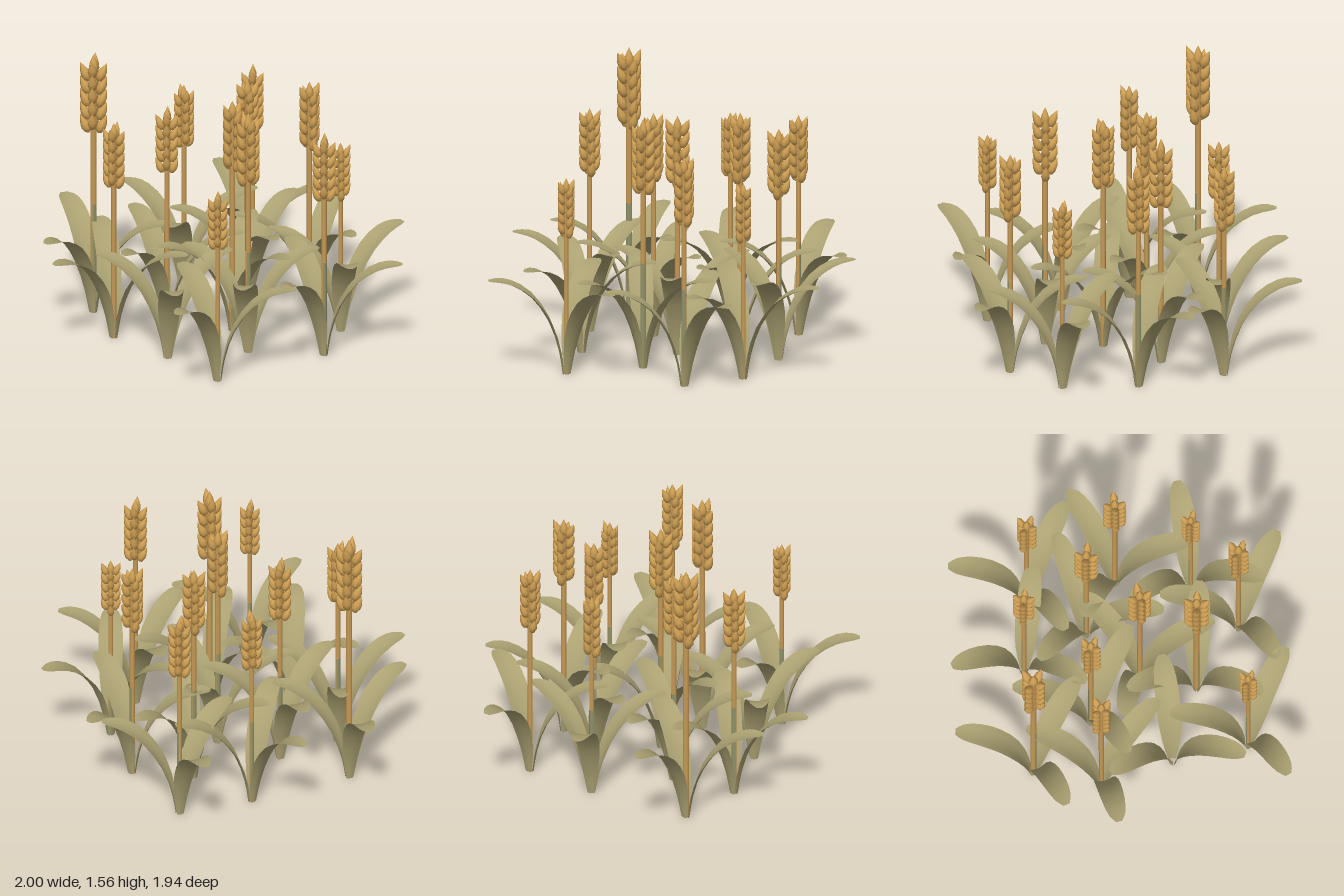
import * as THREE from 'three';
import { mergeGeometries } from 'three/addons/utils/BufferGeometryUtils.js';

const mat = (name, color, side = THREE.FrontSide) => {
  const m = new THREE.MeshStandardMaterial({ color, side });
  m.name = name;
  return m;
};

// x, z, stalk height (0 = leaves only), leaf yaw and green-side yaw in degrees
const PLANTS = [
  [-0.46, -0.55, 1.56, 41, 90],
  [0.14, -0.54, 1.24, 13, 270],
  [0.56, -0.48, 1.28, 36, 0],
  [-0.57, -0.18, 1.3, 53, 270],
  [-0.2, -0.2, 1.3, 37, 270],
  [0.32, -0.17, 1.36, 103, 270],
  [0.61, 0.02, 1.345, 89, 0],
  [0.04, 0.1, 1.39, 78, 270],
  [-0.06, 0.41, 1.45, 8, 90],
  [0.54, 0.44, 1.14, 116, 270],
  [-0.43, 0.66, 1.14, 35, 270],
  [0.27, 0.68, 1.335, 36, 90],
  [-0.48, 0.23, 0, 118, 0],
];

// Arching gutter-shaped leaf pointing along +x
function leafGeometry() {
  // reach, height, half width
  const path = new THREE.CatmullRomCurve3([
    [0.02, 0, 0.02], [0.04, 0.13, 0.04], [0.1, 0.31, 0.062], [0.2, 0.455, 0.068],
    [0.31, 0.53, 0.063], [0.395, 0.552, 0.046], [0.438, 0.555, 0.018],
  ].map((p) => new THREE.Vector3(...p)));
  const g = new THREE.PlaneGeometry(1, 1, 4, 12);
  const pos = g.attributes.position;
  for (let i = 0; i < pos.count; i++) {
    const u = pos.getX(i) * 2;
    const t = pos.getY(i) + 0.5;
    const p = path.getPoint(t);
    const d = path.getTangent(t);
    const n = new THREE.Vector2(-d.y, d.x).normalize();
    const lift = 0.28 * p.z * u * u * (1 - 0.6 * t);
    pos.setXYZ(i, p.x + n.x * lift, Math.min(p.y + n.y * lift, 0.557), u * p.z);
  }
  g.computeVertexNormals();
  return g;
}

// Ear of a stalk of unit height: four columns of grains and one at the tip
function earGeometry() {
  const grain = new THREE.LatheGeometry([
    [0, 0], [0.012, 0.008], [0.0175, 0.025], [0.0155, 0.043], [0.008, 0.062], [0, 0.08],
  ].map((p) => new THREE.Vector2(...p)), 7);
  const parts = [];
  for (let col = 0; col < 4; col++) {
    for (let row = 0; row < 5; row++) {
      const y = 0.695 + row * 0.05 + (col % 2) * 0.02;
      parts.push(grain.clone().rotateZ(-0.42).translate(0.016, y, 0).rotateY(col * Math.PI / 2));
    }
  }
  parts.push(grain.clone().translate(0, 0.92, 0));
  return mergeGeometries(parts);
}

export function createModel() {
  const model = new THREE.Group();
  model.name = 'wheatPatch';
  const wheat = mat('ripe wheat', 0xd2a255);
  const straw = mat('straw', 0xc79a55);
  const green = mat('green straw', 0x8f9269);
  const leafMat = mat('leaf', 0xaba172, THREE.DoubleSide);

  const add = (parent, name, geometry, material) => {
    const mesh = new THREE.Mesh(geometry, material);
    mesh.name = name;
    parent.add(mesh);
    return mesh;
  };

  const leaf = leafGeometry();
  const ear = earGeometry();
  const R = 0.0115;
  const split = 0.42;
  const arc = Math.PI * 0.6;
  const upperStem = new THREE.CylinderGeometry(R, R, 0.94 - split, 8, 1).translate(0, (0.94 + split) / 2, 0);
  // Lower stem: one side still green, the rest ripe
  const lowerPart = (start, length, sides) =>
    new THREE.CylinderGeometry(R, R, split, sides, 1, true, start, length).translate(0, split / 2, 0);
  const greenSide = lowerPart(Math.PI / 2 - arc / 2, arc, 3);
  const ripeSide = lowerPart(Math.PI / 2 + arc / 2, Math.PI * 2 - arc, 6);

  for (const [x, z, h, yaw, greenYaw] of PLANTS) {
    const plant = new THREE.Group();
    plant.name = 'plant';
    plant.position.set(x, 0, z);
    model.add(plant);

    // Three leaves around the base
    for (let k = 0; k < 3; k++) {
      add(plant, 'leaf', leaf, leafMat).rotation.y = -THREE.MathUtils.degToRad(yaw + k * 120);
    }
    if (!h) continue;

    // Stalk with its ear
    const stalk = new THREE.Group();
    stalk.name = 'stalk';
    stalk.scale.setScalar(h);
    plant.add(stalk);
    add(stalk, 'upperStem', upperStem, straw);
    for (const [name, geo, m] of [['lowerStemGreen', greenSide, green], ['lowerStemRipe', ripeSide, straw]]) {
      add(stalk, name, geo, m).rotation.y = -THREE.MathUtils.degToRad(greenYaw);
    }
    add(stalk, 'ear', ear, wheat).rotation.y = -THREE.MathUtils.degToRad(yaw);
  }
  return model;
}
